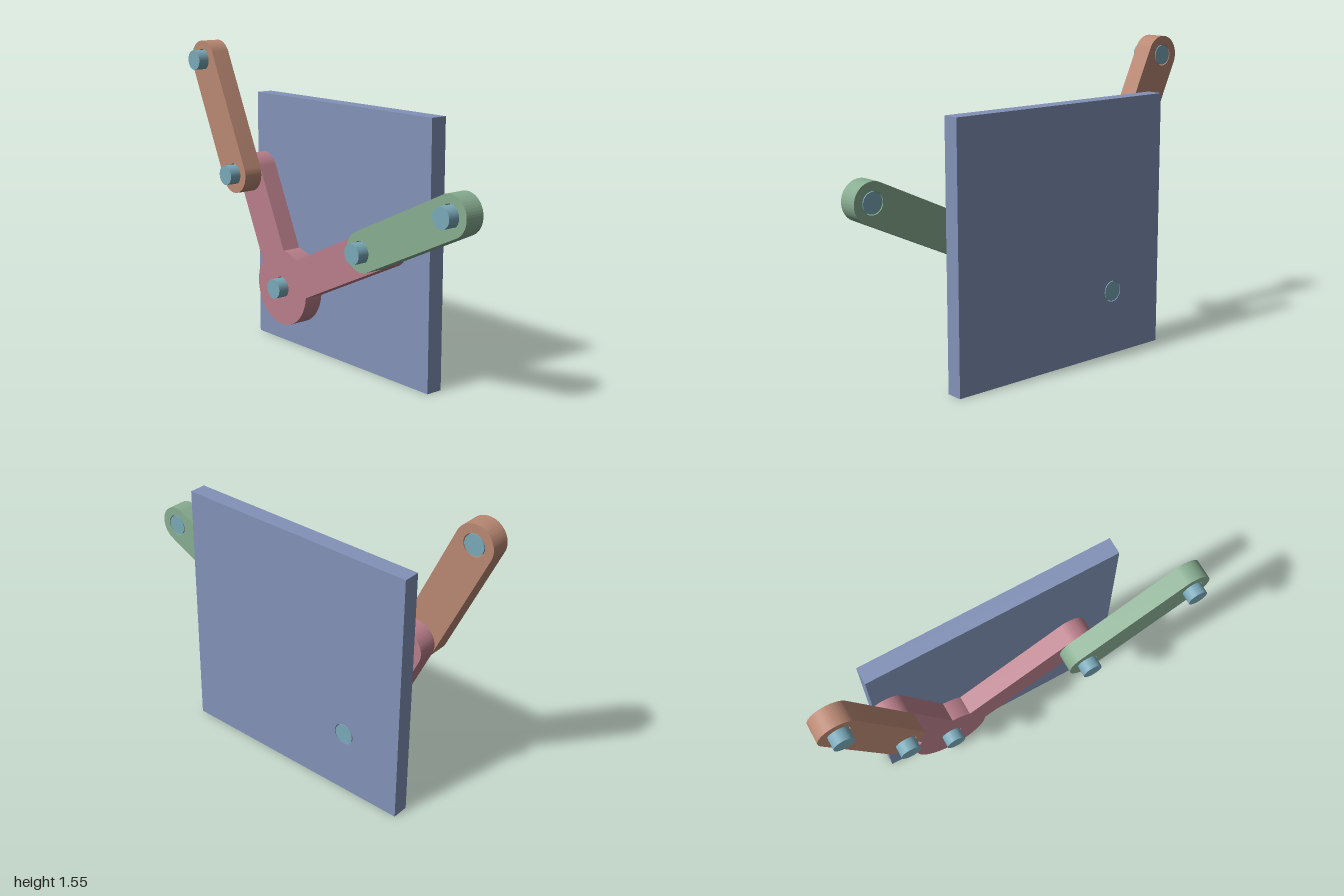
import * as THREE from 'three';
import { toCreasedNormals } from 'three/addons/utils/BufferGeometryUtils.js';

const PI = Math.PI;
const PIN_R = 0.05, HOLE_R = 0.054, ARM_R = 0.097, HUB_R = 0.195;
// Layer boundaries from back to front
const Z = { back: -0.17, crank: -0.085, link: 0.015, front: 0.115, pin: 0.17 };

// Joint positions
const pivot = [-0.38, 0.325];
const leftJoint = [-0.641, 0.885], leftTip = [-0.903, 1.45];
const rightJoint = [0.339, 0.66], rightTip = [0.903, 0.923];

const angleOf = (a, b) => Math.atan2(b[1] - a[1], b[0] - a[0]);

export function createModel() {
  const model = new THREE.Group();
  const paint = (color) => new THREE.MeshStandardMaterial({ color });
  const pinPaint = paint(0x7aa8b8);

  const add = (name, geometry, material) => {
    const mesh = new THREE.Mesh(geometry, material);
    mesh.name = name;
    model.add(mesh);
    return mesh;
  };

  // Flat part with pin holes, extruded between two layers
  const slab = (name, shape, holes, z0, z1, color) => {
    for (const [x, y] of holes) shape.holes.push(new THREE.Path().absarc(x, y, HOLE_R, 0, 2 * PI, true));
    const geometry = new THREE.ExtrudeGeometry(shape, { depth: z1 - z0, bevelEnabled: false, curveSegments: 40 });
    geometry.translate(0, 0, z0);
    add(name, toCreasedNormals(geometry, PI / 6), paint(color));
  };

  const pin = (name, [x, y], z0, z1) => {
    const geometry = new THREE.CylinderGeometry(PIN_R, PIN_R, z1 - z0, 40).rotateX(PI / 2);
    add(name, geometry, pinPaint).position.set(x, y, (z0 + z1) / 2);
  };

  // Back plate
  const plate = new THREE.Shape().moveTo(-0.7, 0).lineTo(0.585, 0).lineTo(0.585, 1.286).lineTo(-0.7, 1.286).closePath();
  slab('backPlate', plate, [pivot], Z.back, Z.crank, 0x8292b8);

  // Bell crank: round hub with two rounded arms
  const a = angleOf(pivot, rightJoint), b = angleOf(pivot, leftJoint);
  const h = Math.asin(ARM_R / HUB_R);
  const crank = new THREE.Shape()
    .absarc(...rightJoint, ARM_R, a - PI / 2, a + PI / 2, false)
    .absarc(...pivot, HUB_R, a + h, b - h, false)
    .absarc(...leftJoint, ARM_R, b - PI / 2, b + PI / 2, false)
    .absarc(...pivot, HUB_R, b + h, a - h + 2 * PI, false);
  crank.closePath();
  slab('bellCrank', crank, [pivot, leftJoint, rightJoint], Z.crank, Z.link, 0xb87e8a);
  pin('pivotPin', pivot, Z.back, 0.07);

  // Links with rounded ends, each with a joint pin and a tip pin
  const link = (side, joint, tip, color) => {
    const t = angleOf(joint, tip);
    const shape = new THREE.Shape()
      .absarc(...tip, ARM_R, t - PI / 2, t + PI / 2, false)
      .absarc(...joint, ARM_R, t + PI / 2, t + 1.5 * PI, false);
    shape.closePath();
    slab(side + 'Link', shape, [joint, tip], Z.link, Z.front, color);
    pin(side + 'JointPin', joint, Z.crank, Z.pin);
    pin(side + 'TipPin', tip, Z.link, Z.pin);
  };
  link('right', leftJoint, leftTip, 0xb98873);
  link('left', rightJoint, rightTip, 0x88ad91);

  return model;
}
